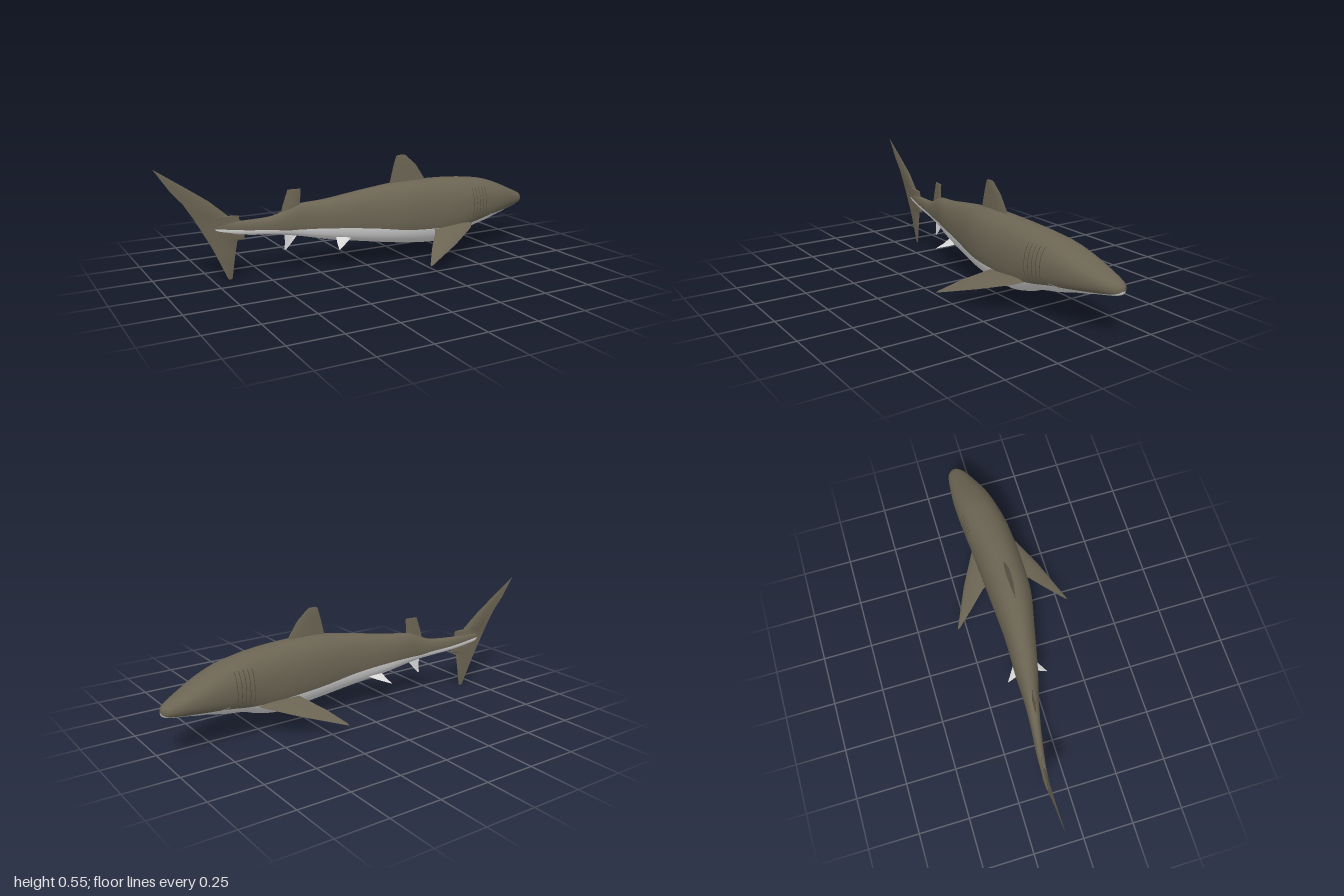
import * as THREE from 'three';
import { toCreasedNormals } from 'three/addons/utils/BufferGeometryUtils.js';

const material = (name, color) => {
  const m = new THREE.MeshStandardMaterial({ color });
  m.name = name;
  return m;
};

// Body stations: x, top y, bottom y, half width, centre z, colour line y
const STATIONS = [
  [1.0, .232, .228, .002, -.08, .23],
  [.992, .252, .212, .022, -.08, .222],
  [.965, .268, .203, .045, -.076, .215],
  [.9, .297, .192, .067, -.065, .206],
  [.8, .34, .172, .092, -.047, .198],
  [.7, .373, .147, .104, -.033, .19],
  [.6, .39, .128, .11, -.02, .172],
  [.52, .40, .10, .111, -.012, .168],
  [.4, .408, .08, .11, -.005, .17],
  [.2, .41, .097, .102, -.002, .18],
  [0, .387, .125, .077, -.018, .205],
  [-.2, .355, .157, .056, -.043, .22],
  [-.33, .342, .183, .037, -.061, .222],
  [-.4, .317, .195, .03, -.07, .222],
  [-.47, .292, .203, .024, -.08, .23],
  [-.6, .283, .215, .018, -.098, .24],
  [-.74, .28, .238, .008, -.112, .257],
  [-.765, .262, .258, .002, -.114, .26],
];
const ROUND = 0.9; // below 1 makes the cross-section fuller than an ellipse
const spow = (v, p) => Math.sign(v) * Math.pow(Math.abs(v), p);
const curve = (k) => new THREE.CatmullRomCurve3(
  STATIONS.map((s) => new THREE.Vector3(s[k], s[k + 1], s[k + 2])), false, 'catmullrom', 0.5);
const curveA = curve(0), curveB = curve(3);

function station(t) {
  const a = curveA.getPoint(t), b = curveB.getPoint(t);
  return { x: a.x, mid: (a.y + a.z) / 2, h: Math.max((a.y - a.z) / 2, .001), w: Math.max(b.x, .001), z: b.y, line: b.z };
}

function stationAt(x) {
  let lo = 0, hi = 1;
  for (let i = 0; i < 30; i++) {
    const m = (lo + hi) / 2;
    if (curveA.getPoint(m).x > x) lo = m; else hi = m;
  }
  return station(lo);
}

const skin = (s, a, grow = 1) => new THREE.Vector3(
  s.x, s.mid + grow * s.h * spow(Math.sin(a), ROUND), s.z + grow * s.w * spow(Math.cos(a), ROUND));
const angleAt = (s, y) => Math.asin(spow(THREE.MathUtils.clamp((y - s.mid) / s.h, -.97, .97), 1 / ROUND));

// Skin closed rings; the first `split` columns use material 0, the rest material 1
function loft(rings, split) {
  const n = rings[0].length, index = [], pos = rings.flat();
  const g = new THREE.BufferGeometry().setFromPoints(pos);
  const columns = (from, to) => {
    for (let i = 0; i < rings.length - 1; i++) for (let j = from; j < to; j++) {
      const a = i * n + j, b = i * n + (j + 1) % n;
      index.push(a, b, a + n, b, b + n, a + n);
    }
  };
  columns(0, split);
  const first = index.length;
  columns(split, n);
  // turn the faces outward
  let volume = 0;
  const c = new THREE.Vector3();
  for (let i = 0; i < index.length; i += 3)
    volume += pos[index[i]].dot(c.crossVectors(pos[index[i + 1]], pos[index[i + 2]]));
  if (volume < 0) for (let i = 0; i < index.length; i += 3)
    [index[i + 1], index[i + 2]] = [index[i + 2], index[i + 1]];
  g.setIndex(index);
  g.addGroup(0, first, 0);
  g.addGroup(first, index.length - first, 1);
  g.computeVertexNormals();
  return g;
}

function bodyGeometry() {
  const rings = [], up = 28, down = 20, steps = 102;
  for (let i = 0; i <= steps; i++) {
    const s = station(i / steps), a = angleAt(s, s.line), ring = [];
    for (let j = 0; j < up; j++) ring.push(skin(s, a + (Math.PI - 2 * a) * j / up));
    for (let j = 0; j < down; j++) ring.push(skin(s, Math.PI - a + (Math.PI + 2 * a) * j / down));
    rings.push(ring);
  }
  return loft(rings, up);
}

// Fin from sections [lead, trail, half thickness], with a lens-shaped profile
function finGeometry(sections, normal) {
  const n = new THREE.Vector3(...normal).normalize();
  const profile = [[0, 0], [.12, .65], [.35, 1], [.7, .6], [1, 0]];
  const rings = sections.map(([lead, trail, t]) => {
    const a = new THREE.Vector3(...lead), b = new THREE.Vector3(...trail);
    const at = ([f, k], side) => a.clone().lerp(b, f).addScaledVector(n, k * t * side);
    return [...profile.map((p) => at(p, 1)), ...profile.slice(1, 4).reverse().map((p) => at(p, -1))];
  });
  return toCreasedNormals(loft(rings, 4), 0.7);
}

// Upright fin from rows: y, lead x, trail x, half thickness; z follows x
const uprightFin = (rows, zOf) => finGeometry(
  rows.map(([y, l, t, d]) => [[l, y, zOf(l)], [t, y, zOf(t)], d]), [0, 0, 1]);

export function createModel() {
  const group = new THREE.Group();
  const brown = material('brown back', 0x6b6453);
  const white = material('white belly', 0xd8d8d8);
  const dark = material('dark gill', 0x504a3d);
  const grey = material('mouth grey', 0x9a9a98);
  const add = (name, geometry, mat) => {
    const m = new THREE.Mesh(geometry, mat);
    m.name = name;
    group.add(m);
  };

  add('body', bodyGeometry(), [brown, white]);

  // Upright fins
  add('dorsalFin', uprightFin([
    [.543, .21, .175, 0], [.537, .22, .163, .002], [.49, .275, .148, .005],
    [.41, .33, .128, .009], [.36, .36, .11, .011]], () => 0), [brown, brown]);
  add('rearDorsalFin', uprightFin([
    [.415, -.325, -.388, 0], [.413, -.325, -.39, .004], [.34, -.33, -.415, .007],
    [.28, -.34, -.43, .008]], (x) => -.06 + (x + .37) * .12), [brown, brown]);
  add('analFin', uprightFin([
    [.122, -.4, -.41, 0], [.16, -.365, -.405, .003], [.22, -.31, -.41, .005]],
    () => -.069), [white, white]);
  add('tailFin', uprightFin([
    [.555, -1, -1, 0], [.45, -.845, -.93, .003], [.387, -.755, -.876, .005],
    [.312, -.67, -.829, .007], [.31, -.62, -.828, .007], [.26, -.615, -.8, .008],
    [.24, -.6, -.79, .008], [.197, -.595, -.766, .007], [.19, -.63, -.762, .006],
    [.14, -.64, -.738, .005], [.008, -.66, -.68, .001], [.005, -.662, -.68, 0]],
    (x) => x > -.75 ? -.112 + (x + .75) * .1 : -.112 + (x + .75) * .03), [brown, brown]);

  for (const side of [1, -1]) {
    const label = side > 0 ? 'front' : 'back';
    // Pectoral fins: brown above, white below
    add(label + 'PectoralFin', finGeometry([
      [[.187, .05, side * .299], [.187, .05, side * .299], 0],
      [[.215, .058, side * .286], [.19, .058, side * .286], .002],
      [[.39, .11, side * .205], [.25, .11, side * .205], .005],
      [[.535, .157, side * .122], [.32, .157, side * .122], .009],
      [[.57, .172, side * .085], [.34, .172, side * .085], .01]],
      [0, 1, side * .5]), [brown, white]);
    // Pelvic fins
    const z = (d) => -.033 + side * d;
    add(label + 'PelvicFin', finGeometry([
      [[-.182, .125, z(.102)], [-.184, .125, z(.102)], 0],
      [[-.12, .147, z(.06)], [-.175, .147, z(.06)], .003],
      [[-.06, .175, z(.025)], [-.165, .175, z(.025)], .005]],
      [0, 1, side * .5]), [white, white]);
    // Gill slits hugging the flank
    for (let k = 0; k < 5; k++) {
      const s = stationAt(.575 + k * .022), pts = [];
      for (let i = 0; i <= 10; i++) {
        const a = angleAt(s, .205 + .0145 * i);
        pts.push(skin(s, side > 0 ? a : Math.PI - a));
      }
      add(label + 'GillSlit', new THREE.TubeGeometry(new THREE.CatmullRomCurve3(pts), 24, .0013, 5), dark);
    }
  }

  // Mouth line curving under the snout
  const lip = [];
  for (let i = 0; i <= 16; i++) {
    const u = i / 8 - 1, s = stationAt(.87 - .17 * u * u);
    lip.push(skin(s, -Math.PI / 2 + u * 1.05));
  }
  add('mouth', new THREE.TubeGeometry(new THREE.CatmullRomCurve3(lip), 48, .0016, 5), grey);
  return group;
}
